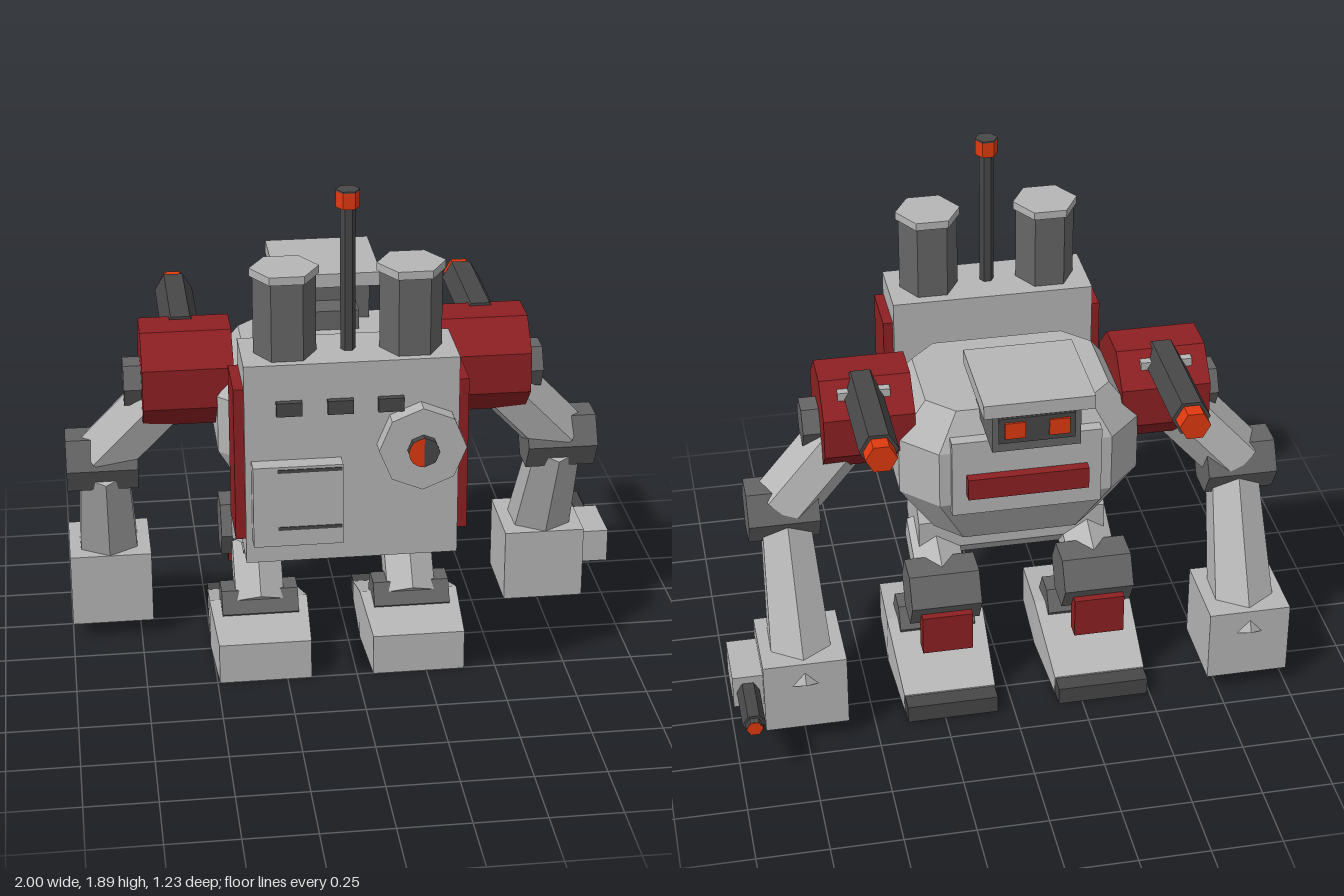
import * as THREE from 'three';
import { ConvexGeometry } from 'three/addons/geometries/ConvexGeometry.js';

const paint = (name, color) => Object.assign(new THREE.MeshStandardMaterial({ color }), { name });

export function createModel() {
  const light = paint('light grey', 0xb6b6b6);
  const mid = paint('mid grey', 0x666666);
  const dark = paint('gunmetal', 0x474747);
  const red = paint('armour red', 0x8e2022);
  const glow = paint('signal orange', 0xe03a10);

  const model = new THREE.Group();
  model.name = 'walkingRobot';
  const body = new THREE.Group();
  body.name = 'robotBody';
  body.position.x = -0.053;
  model.add(body);

  // Helpers: every part is faceted, so normals are computed per face
  const add = (name, geo, mat, x = 0, y = 0, z = 0, parent = body) => {
    const flat = geo.index ? geo.toNonIndexed() : geo;
    flat.computeVertexNormals();
    const mesh = new THREE.Mesh(flat, mat);
    mesh.name = name;
    mesh.position.set(x, y, z);
    parent.add(mesh);
    return mesh;
  };
  const box = (name, mat, [x0, x1], [y0, y1], [z0, z1], parent) =>
    add(name, new THREE.BoxGeometry(x1 - x0, y1 - y0, z1 - z0), mat,
      (x0 + x1) / 2, (y0 + y1) / 2, (z0 + z1) / 2, parent);
  const prism = (r, length, sides = 6, turn = 0, rTop = r) =>
    new THREE.CylinderGeometry(rTop, r, length, sides).rotateY(turn);
  const prismX = (r, length, sides, turn) => prism(r, length, sides, turn).rotateZ(Math.PI / 2);
  const prismZ = (r, length, sides, turn) => prism(r, length, sides, turn).rotateX(Math.PI / 2);
  const strut = (name, mat, a, b, rA, rB, parent) => {
    const from = new THREE.Vector3(...a), to = new THREE.Vector3(...b);
    const dir = to.clone().sub(from);
    const centre = from.clone().add(to).multiplyScalar(0.5);
    const mesh = add(name, prism(rA, dir.length(), 6, 0, rB), mat, ...centre.toArray(), parent);
    mesh.quaternion.setFromUnitVectors(new THREE.Vector3(0, 1, 0), dir.normalize());
    return mesh;
  };
  const hexTurn = Math.PI / 6, octTurn = Math.PI / 8;

  // Torso: stacked octagons with cut corners
  const torso = [];
  for (const [y, hx, z0, z1, c] of [
    [1.2, 0.32, -0.25, 0.21, 0.09], [1.07, 0.42, -0.31, 0.28, 0.12],
    [0.86, 0.42, -0.31, 0.27, 0.12], [0.65, 0.29, -0.21, 0.245, 0.09]]) {
    for (const s of [-1, 1]) {
      for (const [x, z] of [[hx, z0 + c], [hx, z1 - c], [hx - c, z0], [hx - c, z1]]) {
        torso.push(new THREE.Vector3(s * x, y, z));
      }
    }
  }
  add('torso', new ConvexGeometry(torso), light);
  box('chestPanel', light, [-0.26, 0.26], [0.83, 1.12], [-0.33, -0.25]);
  box('chestPlate', red, [-0.21, 0.21], [0.91, 0.99], [-0.365, -0.32]);
  add('pelvis', prismX(0.146, 0.674, 8, octTurn), light, 0, 0.575, 0.06);

  // Head
  box('neck', mid, [-0.1, 0.1], [1.15, 1.27], [-0.26, -0.08]);
  box('head', mid, [-0.15, 0.15], [1.17, 1.33], [-0.48, -0.185]);
  box('headRoof', light, [-0.187, 0.187], [1.33, 1.38], [-0.525, -0.155]);
  box('visor', dark, [-0.13, 0.13], [1.205, 1.3], [-0.488, -0.479]);
  for (const s of [-1, 1]) {
    box('eye', glow, [s * 0.075 - 0.035, s * 0.075 + 0.035], [1.225, 1.285], [-0.495, -0.487]);
  }

  // Backpack with side armour, stacks and antenna
  box('backpack', light, [-0.358, 0.358], [0.615, 1.33], [0.275, 0.525]);
  for (const s of [-1, 1]) {
    box('backpackSideArmour', red, [s * 0.37 - 0.022, s * 0.37 + 0.022], [0.7, 1.245], [0.3, 0.512]);
    add('exhaustStack', prism(0.105, 0.27, 6, hexTurn), mid, s * 0.21, 1.465, 0.405);
    add('stackCap', prism(0.115, 0.028, 6, hexTurn), light, s * 0.21, 1.614, 0.405);
  }
  add('antenna', prism(0.025, 0.5, 6, hexTurn), dark, 0, 1.58, 0.405);
  add('antennaTip', prism(0.04, 0.055, 6, hexTurn), glow, 0, 1.853, 0.405);
  add('antennaTipCap', prism(0.04, 0.006, 6, hexTurn), dark, 0, 1.883, 0.405);

  // Backpack fittings
  for (const x of [-0.21, -0.04, 0.128]) {
    box('vent', dark, [x - 0.043, x + 0.043], [1.155, 1.203], [0.52, 0.548]);
  }
  box('hatch', light, [-0.337, -0.037], [0.7, 0.99], [0.52, 0.583]);
  for (const y of [0.975, 0.765]) {
    box('hatchSlot', dark, [-0.255, -0.04], [y - 0.006, y + 0.006], [0.58, 0.586]);
  }
  add('dial', prismZ(0.147, 0.06, 8), light, 0.229, 1.03, 0.555);
  add('dialKnob', prismZ(0.053, 0.03, 8), dark, 0.229, 1.03, 0.597);
  add('dialLight', new THREE.CircleGeometry(0.052, 8, Math.PI / 2, Math.PI), glow, 0.229, 1.03, 0.614);

  // Arms, shoulders and legs, once per side
  for (const s of [-1, 1]) {
    const arm = new THREE.Group();
    arm.name = s > 0 ? 'leftArm' : 'rightArm';
    body.add(arm);
    const span = (c, half) => [s * c - half, s * c + half];

    add('shoulder', prismX(0.188, 0.314, 8, octTurn), red, s * 0.517, 1.1, -0.02, arm);
    add('shoulderJoint', prismX(0.085, 0.2, 6), mid, s * 0.635, 1.07, -0.015, arm);
    strut('upperArm', light, [s * 0.58, 1.03, -0.02], [s * 0.82, 0.77, -0.06], 0.112, 0.112, arm);
    add('elbow', prismX(0.112, 0.25), mid, s * 0.82, 0.76, -0.06, arm);
    strut('forearm', light, [s * 0.8, 0.2, -0.33], [s * 0.81, 0.74, -0.045], 0.128, 0.095, arm);
    box('fist', light, span(0.8, 0.147), [0.065, 0.337], [-0.42, -0.125], arm);

    // Shoulder cannon
    box('cannonMount', light, span(0.527, 0.09), [1.14, 1.25], [-0.145, -0.1], arm);
    add('cannonBarrel', prismZ(0.067, 0.42, 6, hexTurn), dark, s * 0.527, 1.225, -0.27, arm);
    add('cannonTip', prismZ(0.054, 0.06, 6, hexTurn), glow, s * 0.527, 1.225, -0.505, arm);

    // Leg
    const leg = new THREE.Group();
    leg.name = s > 0 ? 'leftLeg' : 'rightLeg';
    body.add(leg);
    const x = s * 0.275;
    strut('thigh', light, [x, 0.53, 0.07], [x, 0.42, -0.17], 0.1, 0.1, leg);
    add('knee', prismX(0.115, 0.25), mid, x, 0.42, -0.18, leg);
    box('kneeGuard', red, span(0.275, 0.09), [0.23, 0.38], [-0.3, -0.24], leg);
    strut('shin', light, [x, 0.19, 0.02], [x, 0.41, -0.16], 0.1, 0.1, leg);
    add('ankle', prismX(0.085, 0.275), mid, x, 0.18, 0, leg);

    // Wedge foot, widest under the ankle
    const foot = [];
    for (const [z, w, h] of [[0.255, 0.164, 0.15], [-0.02, 0.178, 0.188], [-0.325, 0.165, 0.07]]) {
      for (const e of [-1, 1]) {
        foot.push(new THREE.Vector3(e * w, 0, z), new THREE.Vector3(e * w, h, z));
      }
    }
    add('foot', new ConvexGeometry(foot), light, x, 0, 0, leg);
    box('toe', dark, span(0.275, 0.163), [0, 0.065], [-0.39, -0.32], leg);
  }

  // Wrist gun on the left fist
  box('wristGunBody', light, [0.94, 1.053], [0.172, 0.296], [-0.4, -0.185]);
  add('wristGunBarrel', prismZ(0.04, 0.19, 6, hexTurn), dark, 1, 0.234, -0.49);
  add('wristGunMuzzle', prismZ(0.03, 0.026, 6, hexTurn), dark, 1, 0.234, -0.595);
  add('wristGunLight', prismZ(0.029, 0.004, 6, hexTurn), glow, 1, 0.234, -0.609);

  return model;
}
